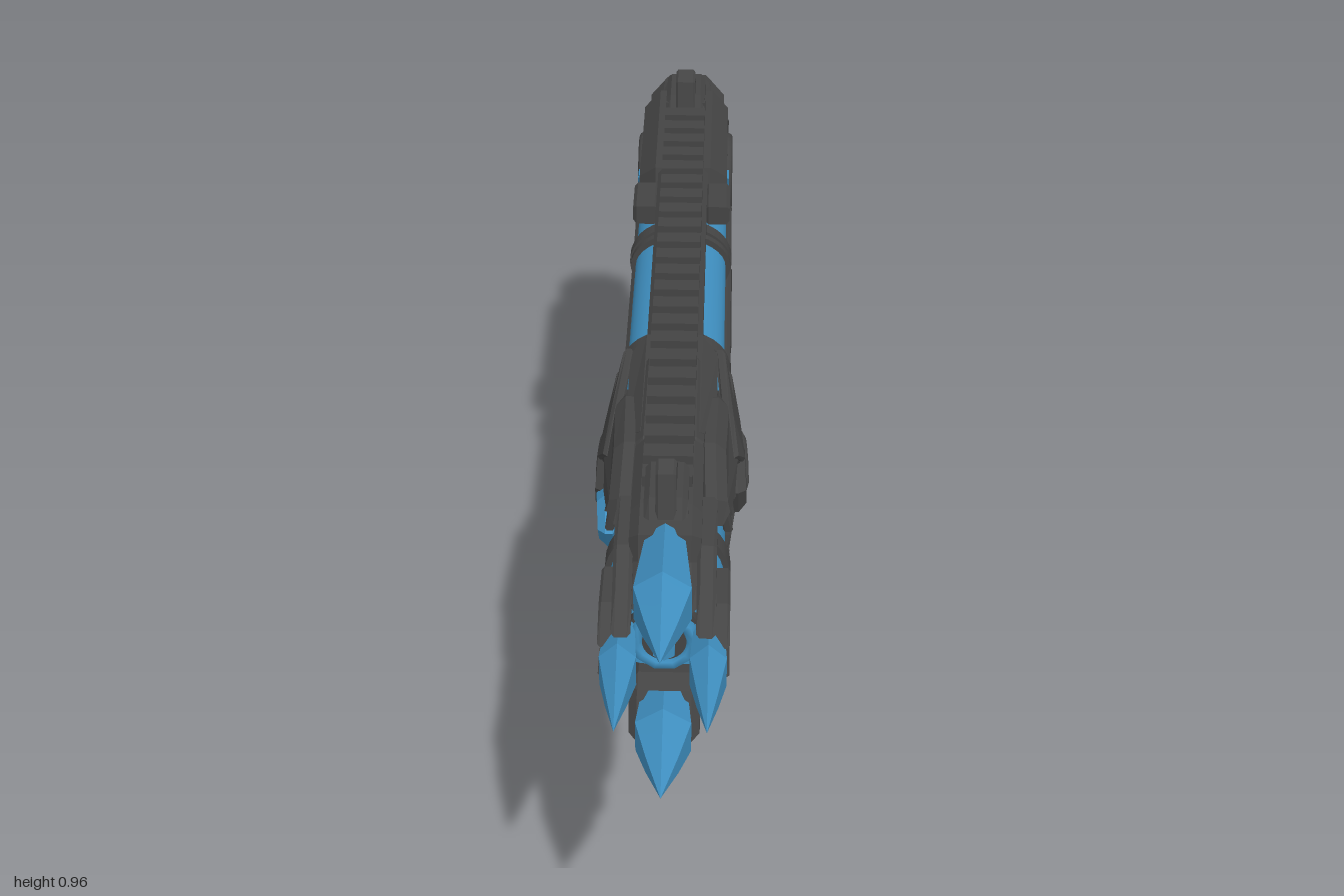
import * as THREE from 'three';
import { toCreasedNormals } from 'three/addons/utils/BufferGeometryUtils.js';

const metal = new THREE.MeshStandardMaterial({ color: 0x444444 });
metal.name = 'dark metal';
const crystalBlue = new THREE.MeshStandardMaterial({ color: 0x3f8fc0 });
crystalBlue.name = 'crystal blue';

export function createModel() {
  const root = new THREE.Group();
  root.name = 'ornatePistol';
  const AXIS = 0.735; // barrel height

  const add = (name, geo, mat = metal) => {
    const m = new THREE.Mesh(geo, mat);
    m.name = name;
    root.add(m);
    return m;
  };
  // side profile of [z, y] points, extruded across x with chamfered edges
  const plate = (name, pts, hw, bevel = 0.01, x = 0, mat = metal) => {
    const shape = new THREE.Shape(pts.map(([z, y]) => new THREE.Vector2(-z, y)));
    const depth = 2 * (hw - bevel);
    const geo = new THREE.ExtrudeGeometry(shape, {
      depth, bevelEnabled: true, bevelThickness: bevel, bevelSize: bevel, bevelOffset: -bevel, bevelSegments: 1,
    });
    geo.translate(0, 0, -depth / 2).rotateY(Math.PI / 2).translate(x, 0, 0);
    return add(name, geo, mat);
  };
  const pair = (name, pts, hw, bevel, x, mat) => [-1, 1].forEach((s) => plate(name, pts, hw, bevel, s * x, mat));
  // cylinder along z
  const barrel = (name, r, z0, z1, y, mat = metal, sx = 1, sides = 32) =>
    add(name, new THREE.CylinderGeometry(r, r, z1 - z0, sides).rotateX(Math.PI / 2).scale(sx, 1, 1).translate(0, y, (z0 + z1) / 2), mat);
  // raised curve on both flanks, through [z, y] points
  const trim = (name, pts, x, r = 0.009) => [-1, 1].forEach((s) => {
    const curve = new THREE.CatmullRomCurve3(pts.map(([z, y]) => new THREE.Vector3(s * x, y, z)));
    add(name, new THREE.TubeGeometry(curve, pts.length * 6, r, 6));
  });
  // stacked rounded-box sections: [front z, front y, rear z, rear y, half width]
  const loft = (name, rows, power) => {
    const n = 28, pos = [], idx = [];
    const p = (v) => Math.sign(v) * Math.abs(v) ** power;
    rows.forEach(([fz, fy, rz, ry, hw]) => {
      for (let j = 0; j < n; j++) {
        const t = (j / n) * Math.PI * 2, c = p(Math.cos(t));
        pos.push(hw * p(Math.sin(t)), (fy + ry) / 2 + (c * (fy - ry)) / 2, (fz + rz) / 2 + (c * (fz - rz)) / 2);
      }
    });
    const last = rows.length - 1;
    [rows[0], rows[last]].forEach(([fz, fy, rz, ry]) => pos.push(0, (fy + ry) / 2, (fz + rz) / 2));
    for (let j = 0; j < n; j++) {
      const k = (j + 1) % n;
      for (let i = 0; i < last; i++) {
        const a = i * n + j, b = i * n + k;
        idx.push(a, a + n, b, b, a + n, b + n);
      }
      idx.push(rows.length * n, j, k, rows.length * n + 1, last * n + k, last * n + j);
    }
    const geo = new THREE.BufferGeometry();
    geo.setAttribute('position', new THREE.Float32BufferAttribute(pos, 3));
    geo.setIndex(idx);
    return add(name, toCreasedNormals(geo, 0.7));
  };

  // frame: lower body, rear block, front block and the narrow top beam
  plate('lowerFrame', [[0.5, 0.74], [0.5, 0.62], [0.42, 0.59], [0.25, 0.6], [0.2, 0.57], [-0.2, 0.575], [-0.24, 0.55],
    [-0.5, 0.55], [-0.57, 0.52], [-0.8, 0.56], [-0.82, 0.74]], 0.082, 0.022);
  plate('rearBlock', [[-0.28, 0.72], [-0.36, 0.8], [-0.38, 0.88], [-0.7, 0.88], [-0.76, 0.83], [-0.82, 0.72], [-0.8, 0.6]], 0.08, 0.03);
  plate('frontBlock', [[0.48, 0.88], [0.2, 0.88], [0.24, 0.8], [0.2, 0.72], [0.48, 0.64]], 0.07, 0.025);
  plate('topBeam', [[0.62, 0.88], [-0.72, 0.88], [-0.72, 0.825], [0.62, 0.825]], 0.045, 0.01);
  pair('slidePanel', [[0.2, 0.715], [0.16, 0.735], [-0.5, 0.735], [-0.56, 0.71], [-0.54, 0.66], [-0.42, 0.645], [0.16, 0.645], [0.22, 0.67]], 0.01, 0.006, 0.08);
  pair('lowerRib', [[0.2, 0.62], [-0.42, 0.625], [-0.5, 0.6], [-0.5, 0.575], [0.16, 0.585]], 0.008, 0.005, 0.08);
  pair('windowEnd', [[-0.25, 0.87], [-0.34, 0.87], [-0.41, 0.83], [-0.41, 0.77], [-0.35, 0.73], [-0.32, 0.73], [-0.35, 0.79], [-0.32, 0.83], [-0.25, 0.835]], 0.022, 0.006, 0.064);
  plate('undersideBlock', [[0.15, 0.6], [0.11, 0.55], [-0.06, 0.55], [-0.09, 0.6]], 0.06, 0.01);
  plate('foreEndLug', [[0.46, 0.63], [0.43, 0.57], [0.38, 0.57], [0.34, 0.62]], 0.06, 0.012);

  // glowing energy cell with clamps
  barrel('energyCell', 0.054, -0.38, 0.24, 0.778, crystalBlue, 1.48);
  [0.15, -0.225].forEach((z) => {
    barrel('cellClamp', 0.066, z - 0.026, z + 0.026, 0.778, metal, 1.34);
    barrel('cellClampLip', 0.072, z - 0.012, z + 0.012, 0.778, metal, 1.26);
  });
  pair('rearGlow', [[-0.425, 0.835], [-0.47, 0.83], [-0.445, 0.8]], 0.004, 0.001, 0.08, crystalBlue);

  // toothed top rail and sights
  for (let i = 0; i < 24; i++) {
    add('railTooth', new THREE.BoxGeometry(0.074, 0.035, 0.032).translate(0, 0.8885, 0.62 - i * 0.0535));
  }
  plate('frontSight', [[0.72, 0.88], [0.7, 0.955], [0.67, 0.962], [0.6, 0.91], [0.58, 0.88]], 0.015, 0.004);
  plate('frontSightBase', [[0.73, 0.87], [0.7, 0.915], [0.61, 0.915], [0.56, 0.87]], 0.032, 0.008);
  plate('rearSight', [[-0.58, 0.89], [-0.59, 0.95], [-0.62, 0.962], [-0.67, 0.92], [-0.72, 0.91], [-0.74, 0.87]], 0.018, 0.004);
  plate('rearSightBase', [[-0.57, 0.87], [-0.6, 0.92], [-0.7, 0.915], [-0.75, 0.86]], 0.036, 0.008);

  // muzzle core
  barrel('muzzleCore', 0.085, 0.4, 0.72, AXIS, crystalBlue);
  barrel('coreBand', 0.094, 0.615, 0.65, AXIS);
  barrel('muzzleCollar', 0.096, 0.71, 0.765, AXIS, metal, 0.93, 12);
  barrel('emitterPlate', 0.076, 0.76, 0.775, AXIS, crystalBlue, 1, 10);
  barrel('emitterCup', 0.057, 0.77, 0.79, AXIS, metal, 1, 10);
  add('emitterRing', new THREE.TorusGeometry(0.042, 0.011, 6, 10).translate(0, AXIS, 0.8), crystalBlue);
  barrel('emitterBore', 0.032, 0.78, 0.805, AXIS);
  barrel('emitterTip', 0.018, 0.78, 0.825, AXIS, crystalBlue, 1, 6);

  // cage arms above, below and at the sides
  const arm = [[0.75, 0.15], [0.68, 0.155], [0.42, 0.145], [0.42, 0.09], [0.66, 0.095], [0.72, 0.075], [0.8, 0.06], [0.83, 0.07], [0.76, 0.11]];
  [1, -1].forEach((s) => {
    const flip = (pts) => pts.map(([z, y]) => [z, AXIS + s * y]);
    plate('cageArm', flip(arm), 0.052, 0.014);
    pair('cageClaw', flip([[0.86, 0.052], [0.8, 0.09], [0.74, 0.125], [0.62, 0.125], [0.64, 0.095], [0.74, 0.06]]), 0.014, 0.005, 0.06);
    pair('sideClaw', flip([[0.85, 0.026], [0.79, 0.06], [0.7, 0.055], [0.7, 0.02], [0.78, 0.024]]), 0.012, 0.004, 0.082);
  });
  plate('lowerClaw', [[0.85, 0.585], [0.82, 0.566], [0.74, 0.575], [0.68, 0.61], [0.74, 0.65], [0.82, 0.64]], 0.052, 0.012);
  plate('foreEnd', [[0.74, 0.59], [0.4, 0.6], [0.4, 0.65], [0.6, 0.645], [0.72, 0.63]], 0.065, 0.014);

  // four faceted crystals
  const profile = [[0, 0.73], [0.038, 0.735], [0.055, 0.87], [0.032, 0.93], [0, 1]].map(([r, z]) => new THREE.Vector2(r, z));
  [[0, 0.122, 0.85, 1], [0, -0.122, 0.85, 0.95], [0.064, 0, 0.55, 0.9], [-0.064, 0, 0.55, 0.9]].forEach(([x, y, sx, sy]) => {
    const geo = toCreasedNormals(new THREE.LatheGeometry(profile, 6), 0.2);
    add('crystal', geo.rotateX(Math.PI / 2).scale(sx, sy, 1).translate(x, AXIS + y, 0), crystalBlue);
  });

  // beast head wrapped around the barrel: crown, jaws with teeth, cheek, horns, mane
  const beastStart = root.children.length;
  plate('beastCrown', [[0.56, 0.84], [0.5, 0.885], [0.28, 0.885], [0.22, 0.85], [0.3, 0.8], [0.5, 0.8]], 0.09, 0.03);
  pair('upperJaw', [[0.61, 0.8], [0.6, 0.84], [0.5, 0.875], [0.36, 0.865], [0.24, 0.8], [0.25, 0.72], [0.4, 0.735], [0.45, 0.79], [0.53, 0.785]], 0.028, 0.016, 0.088);
  pair('lowerJaw', [[0.59, 0.65], [0.55, 0.61], [0.42, 0.605], [0.28, 0.62], [0.21, 0.68], [0.26, 0.76], [0.4, 0.74], [0.43, 0.68], [0.52, 0.665]], 0.024, 0.014, 0.086);
  pair('cheek', [[0.47, 0.76], [0.42, 0.8], [0.34, 0.78], [0.38, 0.72], [0.45, 0.71]], 0.02, 0.012, 0.1);
  [0.555, 0.52, 0.485].forEach((z, i) => {
    pair('upperTooth', [[z + 0.012, 0.8], [z + 0.005, 0.752 + i * 0.006], [z - 0.012, 0.8]], 0.008, 0.003, 0.098);
    pair('lowerTooth', [[z + 0.01, 0.65], [z + 0.005, 0.695], [z - 0.015, 0.65]], 0.008, 0.003, 0.096);
  });
  pair('horn', [[0.46, 0.82], [0.38, 0.85], [0.22, 0.865], [0.3, 0.83], [0.22, 0.825], [0.32, 0.79], [0.42, 0.785]], 0.012, 0.006, 0.11);
  const spiral = Array.from({ length: 12 }, (_, i) => {
    const a = i * 0.85, r = 0.068 - i * 0.0048;
    return [0.31 + r * Math.cos(a), 0.69 + r * Math.sin(a)];
  });
  trim('maneCurl', spiral, 0.114, 0.012);
  trim('maneSweep', [[0.42, 0.635], [0.32, 0.605], [0.23, 0.63], [0.19, 0.68], [0.22, 0.73]], 0.106, 0.012);
  plate('mouthGlow', [[0.56, 0.745], [0.5, 0.775], [0.45, 0.76], [0.44, 0.7], [0.52, 0.69]], 0.018, 0.012, -0.1, crystalBlue);
  // draw the flanks in toward the top, bottom and both ends
  root.children.slice(beastStart).forEach(({ geometry }) => {
    const v = geometry.attributes.position;
    for (let i = 0; i < v.count; i++) {
      const dy = Math.max(0, Math.abs(v.getY(i) - 0.74) - 0.03), dz = Math.abs(v.getZ(i) - 0.42);
      v.setX(i, v.getX(i) * (1 - 2.6 * dy) * (1 - 0.6 * dz));
    }
    geometry.computeVertexNormals();
  });

  // pivot disc on both flanks
  add('pivotDisc', new THREE.CylinderGeometry(0.07, 0.07, 0.176, 32).rotateZ(Math.PI / 2).translate(0, AXIS, -0.63));
  [-1, 1].forEach((s) => add('pivotRim', new THREE.TorusGeometry(0.073, 0.009, 8, 32).rotateY(Math.PI / 2).translate(s * 0.081, AXIS, -0.63)));

  // bird head at the back
  plate('birdHead', [[-0.7, 0.86], [-0.76, 0.84], [-0.83, 0.845], [-0.88, 0.8], [-0.9, 0.75], [-0.86, 0.69], [-0.85, 0.6], [-0.7, 0.6]], 0.072, 0.03);
  plate('beak', [[-0.84, 0.79], [-0.89, 0.78], [-0.925, 0.74], [-0.938, 0.69], [-0.92, 0.65], [-0.905, 0.64], [-0.908, 0.685], [-0.875, 0.7], [-0.84, 0.7]], 0.04, 0.014);
  plate('crest', [[-0.7, 0.88], [-0.745, 0.885], [-0.74, 0.86], [-0.83, 0.852], [-0.8, 0.83], [-0.7, 0.83]], 0.045, 0.01);
  pair('brow', [[-0.76, 0.82], [-0.85, 0.8], [-0.89, 0.765], [-0.83, 0.775], [-0.76, 0.79]], 0.012, 0.005, 0.06);
  pair('birdEye', [[-0.82, 0.776], [-0.855, 0.772], [-0.845, 0.756]], 0.004, 0.001, 0.07, crystalBlue);
  trim('neckFeather', [[-0.72, 0.64], [-0.78, 0.66], [-0.82, 0.71], [-0.8, 0.77]], 0.072, 0.01);
  trim('neckFeather', [[-0.68, 0.6], [-0.76, 0.61], [-0.83, 0.64], [-0.85, 0.7]], 0.074, 0.01);

  // grip with finger swells
  loft('grip', [
    [-0.54, 0.6, -0.82, 0.72, 0.078], [-0.57, 0.54, -0.85, 0.62, 0.083], [-0.61, 0.46, -0.868, 0.53, 0.085],
    [-0.67, 0.4, -0.93, 0.43, 0.087], [-0.715, 0.36, -0.955, 0.36, 0.089], [-0.728, 0.31, -0.972, 0.3, 0.09],
    [-0.7, 0.265, -0.985, 0.25, 0.091], [-0.718, 0.2, -0.992, 0.19, 0.091], [-0.71, 0.15, -0.995, 0.15, 0.091],
    [-0.69, 0.12, -0.997, 0.12, 0.091], [-0.68, 0.09, -0.997, 0.09, 0.09], [-0.7, 0.03, -0.99, 0.055, 0.08], [-0.77, 0.002, -0.95, 0.025, 0.045],
  ], 0.66);
  trim('buttBand', [[-0.765, 0.115], [-0.8, 0.098], [-0.87, 0.095], [-0.93, 0.115]], 0.085, 0.009);
  trim('gripVine', [[-0.69, 0.5], [-0.78, 0.47], [-0.88, 0.37], [-0.92, 0.25], [-0.88, 0.14]], 0.082, 0.009);
  trim('gripVine', [[-0.73, 0.47], [-0.78, 0.36], [-0.8, 0.25], [-0.86, 0.14]], 0.084, 0.009);
  trim('gripVine', [[-0.8, 0.28], [-0.83, 0.29], [-0.87, 0.25], [-0.85, 0.2]], 0.086, 0.008);
  pair('gripEmblem', [[-0.78, 0.41], [-0.85, 0.36], [-0.81, 0.33]], 0.006, 0.003, 0.087);

  // trigger and its guard
  plate('triggerGuard', [[-0.19, 0.56], [-0.26, 0.43], [-0.3, 0.4], [-0.46, 0.4], [-0.5, 0.46], [-0.5, 0.56],
    [-0.47, 0.56], [-0.47, 0.47], [-0.445, 0.433], [-0.31, 0.433], [-0.285, 0.45], [-0.235, 0.56]], 0.035, 0.008);
  plate('trigger', [[-0.36, 0.57], [-0.375, 0.5], [-0.335, 0.44], [-0.35, 0.43], [-0.39, 0.46], [-0.41, 0.51], [-0.41, 0.57]], 0.018, 0.005);

  return root;
}
